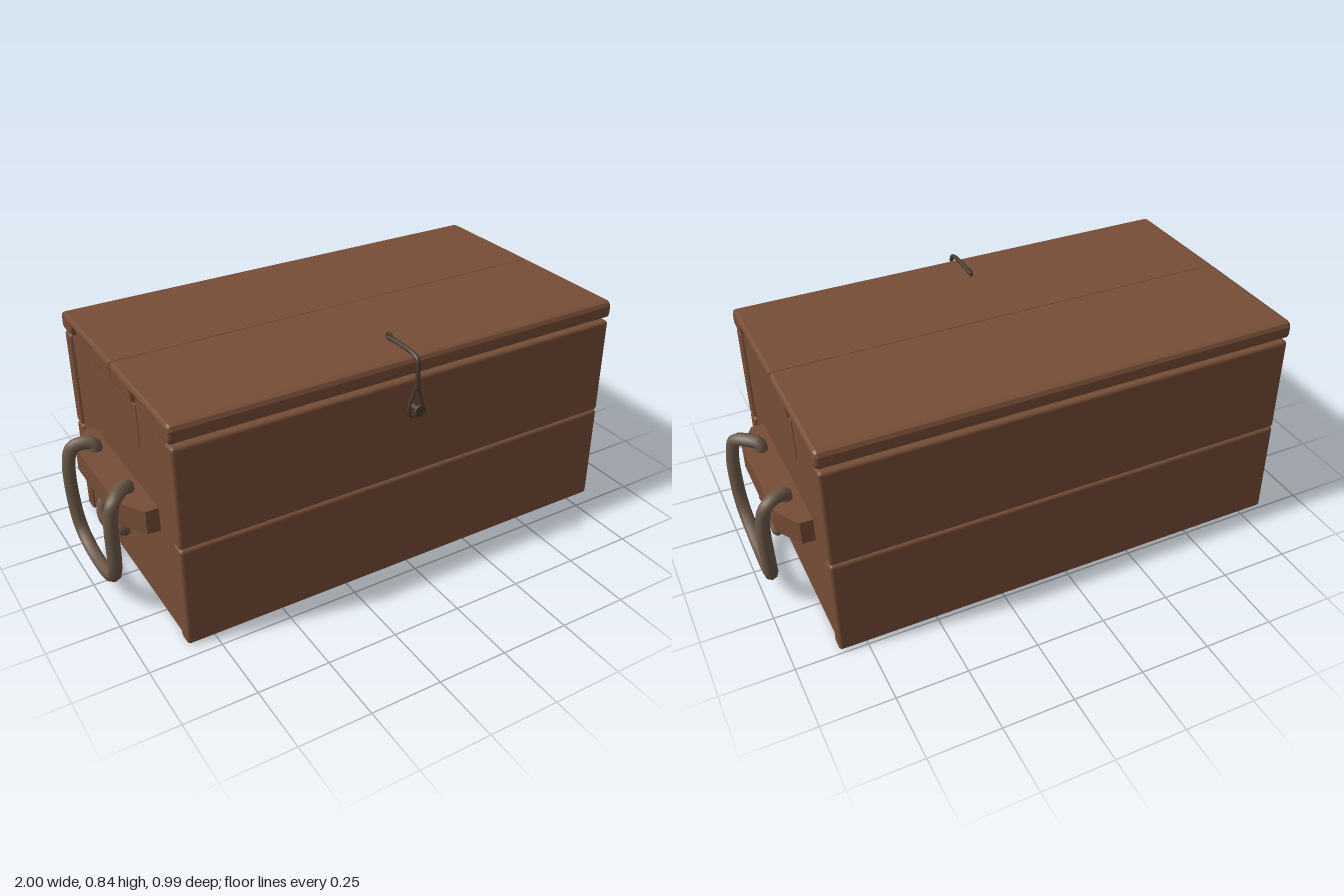
import * as THREE from 'three';
import { RoundedBoxGeometry } from 'three/addons/geometries/RoundedBoxGeometry.js';

const wood = new THREE.MeshStandardMaterial({ color: 0x764d36 });
wood.name = 'brown wood';
const rope = new THREE.MeshStandardMaterial({ color: 0x6b5848 });
rope.name = 'grey brown rope';
const cord = new THREE.MeshStandardMaterial({ color: 0x4a3a30 });
cord.name = 'dark cord';

function add(parent, name, geometry, material) {
  const mesh = new THREE.Mesh(geometry, material);
  mesh.name = name;
  parent.add(mesh);
  return mesh;
}

// Board given by its minimum and maximum corners, with softened edges
function board(parent, name, min, max, radius) {
  const size = max.map((v, i) => v - min[i]);
  const mesh = add(parent, name, new RoundedBoxGeometry(...size, 2, radius), wood);
  mesh.position.set(...max.map((v, i) => (v + min[i]) / 2));
}

// Profile of [z, y] points extruded along x, with bevelled ends
function slab(parent, name, points, x0, x1, bevel) {
  const shape = new THREE.Shape(points.map(([z, y]) => new THREE.Vector2(-z, y)));
  const geometry = new THREE.ExtrudeGeometry(shape, {
    depth: x1 - x0 - 2 * bevel, bevelEnabled: bevel > 0,
    bevelSize: bevel, bevelThickness: bevel, bevelOffset: -bevel, bevelSegments: 2,
  });
  geometry.translate(0, 0, x0 + bevel);
  geometry.rotateY(Math.PI / 2);
  add(parent, name, geometry, wood);
}

// Smooth tube through points, with rounded ends when open
function strand(parent, name, points, radius, material, closed = false, side = 1) {
  const path = points.map(([x, y, z]) => new THREE.Vector3(x * side, y, z));
  const curve = new THREE.CatmullRomCurve3(path, closed, 'centripetal');
  add(parent, name, new THREE.TubeGeometry(curve, points.length * 5, radius, 8, closed), material);
  if (closed) return;
  for (const p of [path[0], path[path.length - 1]]) {
    add(parent, name + 'End', new THREE.SphereGeometry(radius, 8, 6), material).position.copy(p);
  }
}

function buildHandle(side) {
  const handle = new THREE.Group();
  handle.name = side > 0 ? 'leftHandle' : 'rightHandle';

  // Wooden cleat, tapered towards its outer face
  const outline = [[0.83, 0.27], [0.88, 0.27], [0.94, 0.17], [0.94, -0.21], [0.88, -0.31], [0.83, -0.31]];
  const shape = new THREE.Shape(outline.map(([x, z]) => new THREE.Vector2(x * side, -z)));
  const cleat = new THREE.ExtrudeGeometry(shape, { depth: 0.086, bevelEnabled: false });
  cleat.rotateX(-Math.PI / 2);
  cleat.translate(0, 0.339, 0);
  add(handle, 'cleat', cleat, wood);

  // Hanging loop, threaded down through the cleat at both ends
  strand(handle, 'ropeLoop', [
    [0.885, 0.40, 0.125], [0.885, 0.445, 0.13], [0.92, 0.453, 0.16], [0.957, 0.44, 0.195],
    [0.972, 0.38, 0.20], [0.974, 0.23, 0.196], [0.97, 0.15, 0.165], [0.964, 0.095, 0.09],
    [0.962, 0.072, 0.0], [0.964, 0.085, -0.10], [0.968, 0.125, -0.165], [0.974, 0.20, -0.19],
    [0.974, 0.38, -0.198], [0.957, 0.435, -0.198], [0.92, 0.453, -0.185], [0.885, 0.445, -0.17],
    [0.885, 0.40, -0.165],
  ], 0.024, rope, false, side);

  // Ends gathered into a knot below the cleat
  strand(handle, 'knotFrontStrand', [
    [0.885, 0.345, 0.15], [0.885, 0.32, 0.12], [0.88, 0.305, 0.05], [0.885, 0.29, -0.01],
    [0.905, 0.26, -0.04], [0.91, 0.238, -0.09],
  ], 0.021, rope, false, side);
  strand(handle, 'knotBackStrand', [
    [0.885, 0.345, -0.16], [0.885, 0.32, -0.14], [0.885, 0.305, -0.08], [0.9, 0.28, -0.01],
    [0.91, 0.278, 0.05], [0.9, 0.255, 0.08], [0.885, 0.225, 0.055], [0.88, 0.215, 0.01],
    [0.88, 0.235, -0.03],
  ], 0.021, rope, false, side);
  strand(handle, 'knotWrap', [
    [0.925, 0.24, 0.005], [0.93, 0.28, -0.02], [0.91, 0.318, -0.025],
    [0.87, 0.305, -0.025], [0.868, 0.25, -0.005], [0.895, 0.215, 0.005],
  ], 0.02, rope, true, side);
  return handle;
}

function buildLatch() {
  const latch = new THREE.Group();
  latch.name = 'latch';
  // Cord along the lid, over the edge and down to a teardrop loop
  strand(latch, 'latchCord', [
    [0, 0.823, 0.30], [0, 0.826, 0.37], [0, 0.824, 0.44], [0, 0.813, 0.468], [0, 0.76, 0.472], [0, 0.71, 0.47],
  ], 0.008, cord);
  strand(latch, 'latchLoop', [
    [0, 0.72, 0.47], [0.013, 0.69, 0.468], [0.025, 0.635, 0.464], [0.018, 0.61, 0.464],
    [0, 0.604, 0.464], [-0.018, 0.61, 0.464], [-0.025, 0.635, 0.464], [-0.013, 0.69, 0.468],
  ], 0.006, cord, true);
  // Peg and button that hold the loop
  const peg = add(latch, 'latchPeg', new THREE.CylinderGeometry(0.01, 0.01, 0.045, 8), cord);
  peg.rotation.x = Math.PI / 2;
  peg.position.set(0, 0.637, 0.467);
  const button = add(latch, 'latchButton', new THREE.CylinderGeometry(0.021, 0.021, 0.01, 8), cord);
  button.rotation.x = Math.PI / 2;
  button.position.set(0, 0.637, 0.49);
  // Small fixing ring on the lid
  const ring = add(latch, 'lidRing', new THREE.TorusGeometry(0.014, 0.005, 6, 10), cord);
  ring.rotation.y = Math.PI / 2;
  ring.position.set(0, 0.825, 0.303);
  return latch;
}

export function createModel() {
  const model = new THREE.Group();
  model.name = 'woodenChest';

  // Front and back walls, two planks each
  for (const [name, z0, z1] of [['frontPlank', 0.392, 0.45], ['backPlank', -0.49, -0.434]]) {
    board(model, name + 'Lower', [-0.845, 0, z0], [0.845, 0.371, z1], 0.012);
    board(model, name + 'Upper', [-0.845, 0.373, z0], [0.845, 0.738, z1], 0.012);
  }

  // Recessed floor
  board(model, 'floor', [-0.8, 0.012, -0.436], [0.8, 0.05, 0.394], 0.004);

  // End walls with two tabs that reach into the lid
  const endProfile = [
    [0.388, 0.002], [0.388, 0.738], [0.35, 0.745], [0.342, 0.782], [0.158, 0.782], [0.158, 0.742],
    [-0.198, 0.742], [-0.198, 0.782], [-0.382, 0.782], [-0.39, 0.745], [-0.431, 0.738], [-0.431, 0.002],
  ];
  for (const side of [1, -1]) {
    const [x0, x1] = side > 0 ? [0.78, 0.835] : [-0.835, -0.78];
    slab(model, 'endWall', endProfile, x0, x1, 0);
    board(model, 'endInset', [side * 0.834 - 0.004, 0.585, -0.198], [side * 0.834 + 0.004, 0.742, 0.158], 0.002);
    model.add(buildHandle(side));
  }

  // Lid of two planks, notched underneath for the tabs
  slab(model, 'lidFront', [
    [-0.019, 0.749], [0.152, 0.749], [0.152, 0.786], [0.348, 0.786], [0.354, 0.752], [0.37, 0.747],
    [0.435, 0.747], [0.447, 0.755], [0.45, 0.77], [0.45, 0.795], [0.443, 0.808], [0.43, 0.813], [-0.019, 0.815],
  ], -0.85, 0.85, 0.012);
  slab(model, 'lidBack', [
    [-0.021, 0.749], [-0.192, 0.749], [-0.192, 0.786], [-0.388, 0.786], [-0.394, 0.752], [-0.41, 0.747],
    [-0.475, 0.747], [-0.487, 0.755], [-0.49, 0.77], [-0.49, 0.795], [-0.483, 0.808], [-0.47, 0.813], [-0.021, 0.815],
  ], -0.85, 0.85, 0.012);

  model.add(buildLatch());
  return model;
}
